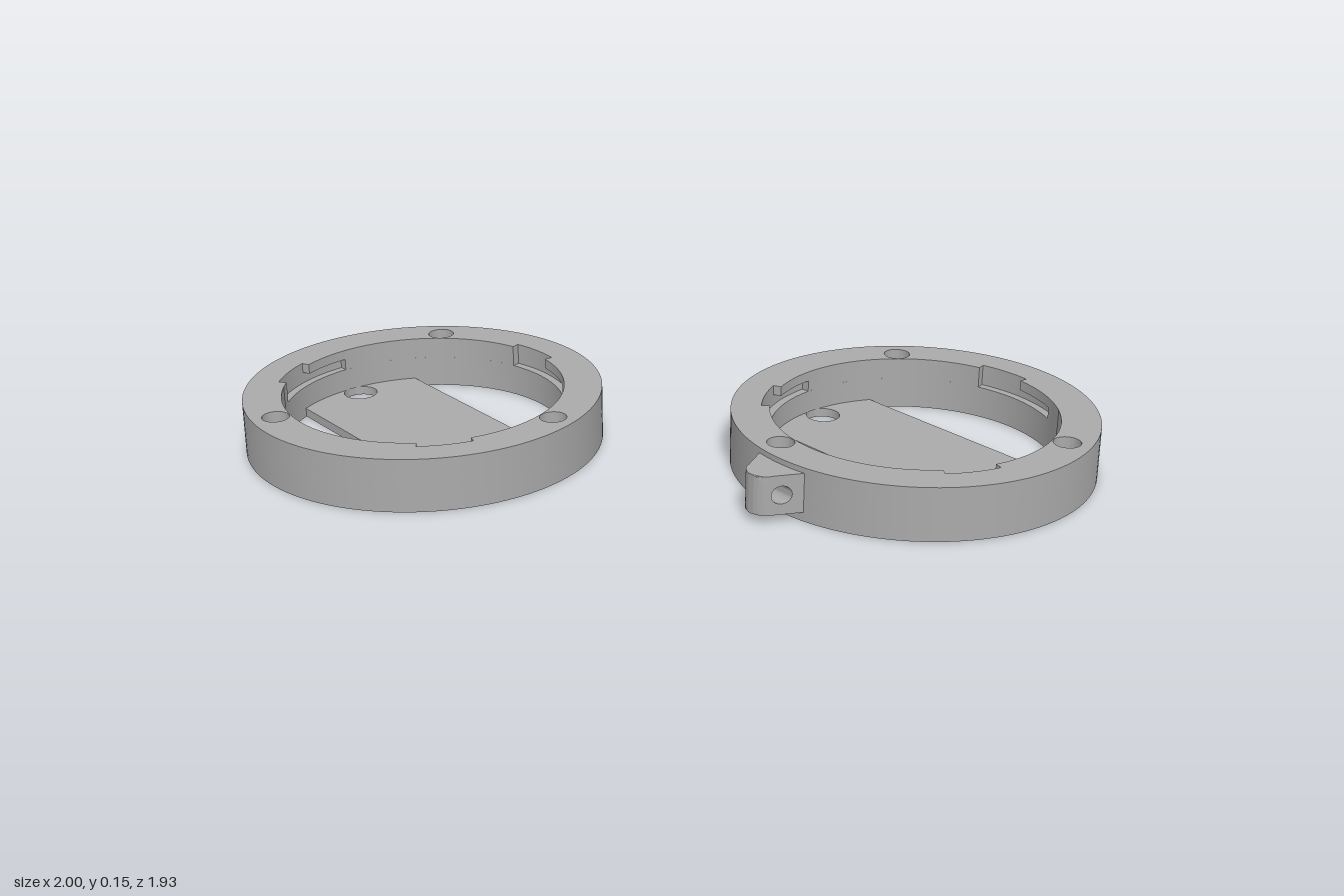
import * as THREE from 'three';
import { toCreasedNormals } from 'three/addons/utils/BufferGeometryUtils.js';

const OUTER = 0.5, INNER = 0.393, SLOT = 0.416, PLATE = 0.187, SCREW_R = 0.433;
const rad = THREE.MathUtils.degToRad;

const grey = new THREE.MeshStandardMaterial({ color: 0xaaaaaa });
grey.name = 'plain grey';

function circle(x, y, r, Kind = THREE.Path) {
  const p = new Kind();
  p.absarc(x, y, r, 0, Math.PI * 2);
  return p;
}

// Three screw holes, evenly spaced round the rim
function screwHoles(r) {
  return [100, 220, 340].map(a =>
    circle(SCREW_R * Math.cos(rad(a)), SCREW_R * Math.sin(rad(a)), r));
}

// Inside outline of the rim with three locking slots of the given angle
function slottedBore(angle) {
  const p = new THREE.Path();
  for (const start of [15, 135, 255]) {
    p.absarc(0, 0, SLOT, rad(start), rad(start + angle));
    p.absarc(0, 0, INNER, rad(start + angle), rad(start + 120));
  }
  p.closePath();
  return p;
}

// One flat layer of the housing between two heights
function layer(name, y0, y1, holes) {
  const shape = circle(0, 0, OUTER, THREE.Shape);
  shape.holes.push(...holes);
  const g = new THREE.ExtrudeGeometry(shape, { depth: y1 - y0, bevelEnabled: false, curveSegments: 64 });
  g.rotateX(Math.PI / 2).translate(0, y1, 0);
  const mesh = new THREE.Mesh(toCreasedNormals(g, 0.5), grey);
  mesh.name = name;
  return mesh;
}

function createHousing(name) {
  const group = new THREE.Group();
  group.name = name;
  // Openings on both sides of the floor strip
  const a = Math.asin(PLATE / INNER);
  const windows = [0, Math.PI].map(turn => {
    const p = new THREE.Path();
    p.absarc(0, 0, INNER, turn + a, turn + Math.PI - a);
    p.closePath();
    return p;
  });
  group.add(
    layer('floorWithCableHole', 0, 0.025, [...windows, circle(-0.35, 0, 0.048), ...screwHoles(0.02)]),
    layer('lowerRim', 0.025, 0.09, [circle(0, 0, INNER), ...screwHoles(0.02)]),
    layer('lockingSlotRim', 0.09, 0.122, [slottedBore(42), ...screwHoles(0.037)]),
    layer('slotEntryRim', 0.122, 0.15, [slottedBore(21), ...screwHoles(0.037)])
  );
  return group;
}

// Rounded lug with a cross hole, swept as loops round the hole
function createLug() {
  const N = 64, STEPS = 10, HALF = 0.055, HOLE = 0.025, TIP = 0.05;
  const halfWidth = z => {
    if (z < 0.018) return THREE.MathUtils.mapLinear(z, -HALF, 0.018, 0.086, 0.0482);
    const d = z - (HALF - TIP);
    return Math.sqrt(Math.max(0, TIP * TIP - d * d));
  };
  const pos = [], idx = [], row = 2 * (STEPS + 1);
  for (let i = 0; i <= N; i++) {
    const a = i / N * Math.PI * 2, c = Math.cos(a), s = Math.sin(a);
    const edge = HALF / Math.max(Math.abs(c), Math.abs(s));
    for (let j = 0; j < row; j++) {
      const right = j <= STEPS;
      const k = right ? j : row - 1 - j;
      const r = THREE.MathUtils.lerp(HOLE, edge, Math.sin(k / STEPS * Math.PI / 2));
      const z = r * c;
      pos.push((right ? 1 : -1) * halfWidth(z), r * s, z);
    }
  }
  for (let i = 0; i < N; i++) for (let j = 0; j < row; j++) {
    const n = (j + 1) % row;
    const p = i * row + j, q = i * row + n, u = p + row, v = q + row;
    idx.push(p, u, q, q, u, v);
  }
  // Face order is checked against the +x cheek
  const g = new THREE.BufferGeometry();
  g.setAttribute('position', new THREE.Float32BufferAttribute(pos, 3));
  const A = new THREE.Vector3().fromArray(pos, 0);
  const B = new THREE.Vector3().fromArray(pos, row * 3).sub(A);
  const C = new THREE.Vector3().fromArray(pos, 3).sub(A);
  if (B.cross(C).x < 0) idx.reverse();
  g.setIndex(idx);
  const mesh = new THREE.Mesh(toCreasedNormals(g, 0.6), grey);
  mesh.name = 'lugWithCrossHole';
  mesh.position.set(0, 0.08, 0.545);
  return mesh;
}

export function createModel() {
  const model = new THREE.Group();
  model.name = 'pairOfRingHousings';
  const front = createHousing('plainHousing');
  front.position.set(-0.5, 0, 0.465);
  const back = createHousing('housingWithLug');
  back.position.set(0.5, 0, -0.465);
  back.add(createLug());
  model.add(front, back);
  return model;
}
